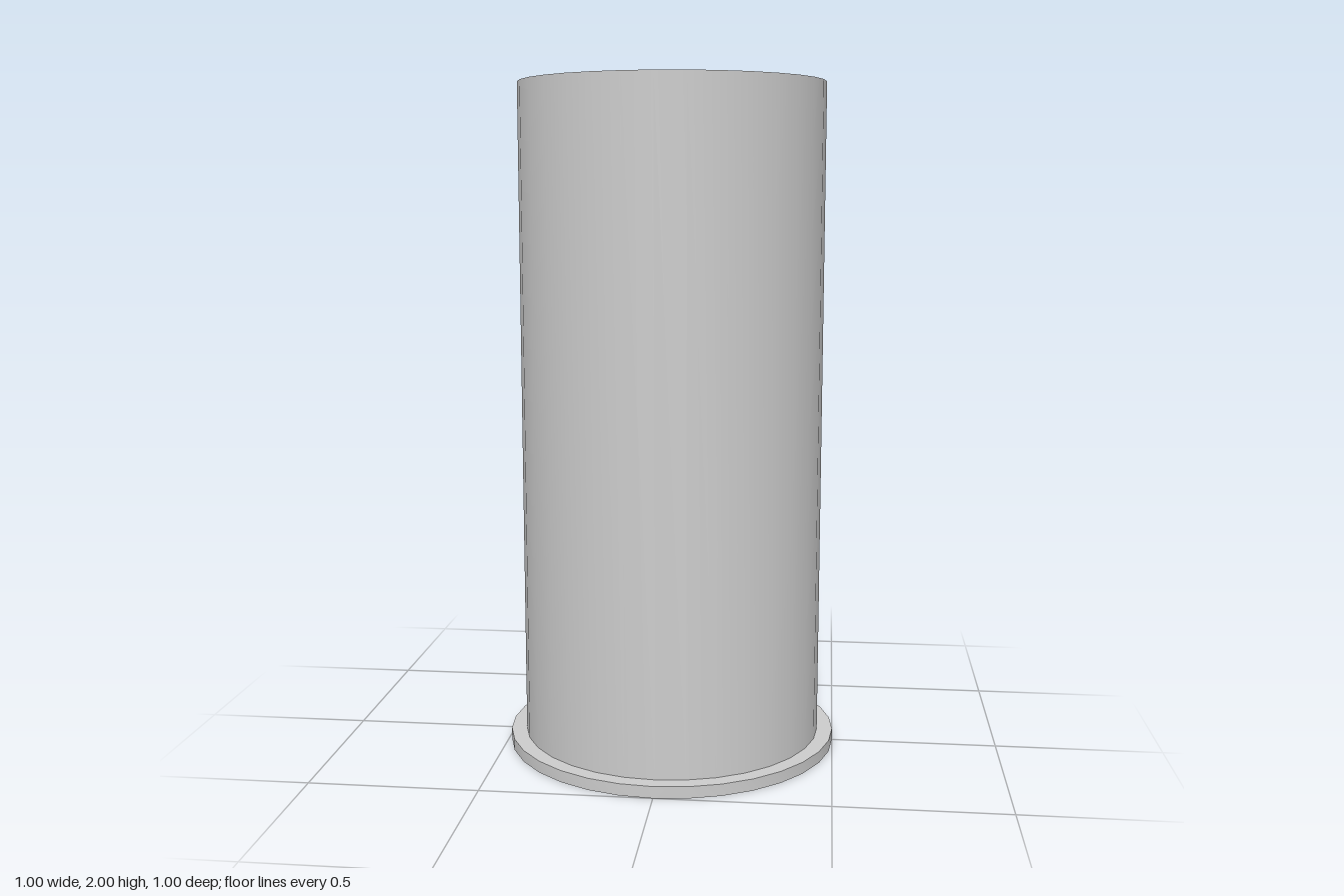
import * as THREE from 'three';
import { toCreasedNormals } from 'three/addons/utils/BufferGeometryUtils.js';

const SIDES = 32;
const material = new THREE.MeshStandardMaterial({ color: 0xcccccc });

// Turned part from [radius, height] points, listed from the bottom up the outside
function turned(name, profile) {
  const points = profile.map(([r, y]) => new THREE.Vector2(r, y));
  const geometry = toCreasedNormals(new THREE.LatheGeometry(points, SIDES), Math.PI / 6);
  const mesh = new THREE.Mesh(geometry, material);
  mesh.name = name;
  return mesh;
}

export function createModel() {
  const group = new THREE.Group();
  group.name = 'cartridge';

  // Flanged base with a shallow ring groove around the primer
  group.add(turned('baseRim', [
    [0.17, 0.012], [0.182, 0.012], [0.182, 0], [0.5, 0], [0.5, 0.035], [0.453, 0.035],
  ]));

  // Primer disc, flush with the underside
  group.add(turned('primer', [[0, 0], [0.17, 0], [0.17, 0.012]]));

  // Tube with a rolled mouth sloping in to a recessed closing disc
  group.add(turned('tube', [
    [0.453, 0.035], [0.453, 2], [0.41, 2], [0.383, 1.966],
  ]));
  group.add(turned('closingDisc', [[0.383, 1.966], [0, 1.966]]));

  return group;
}
